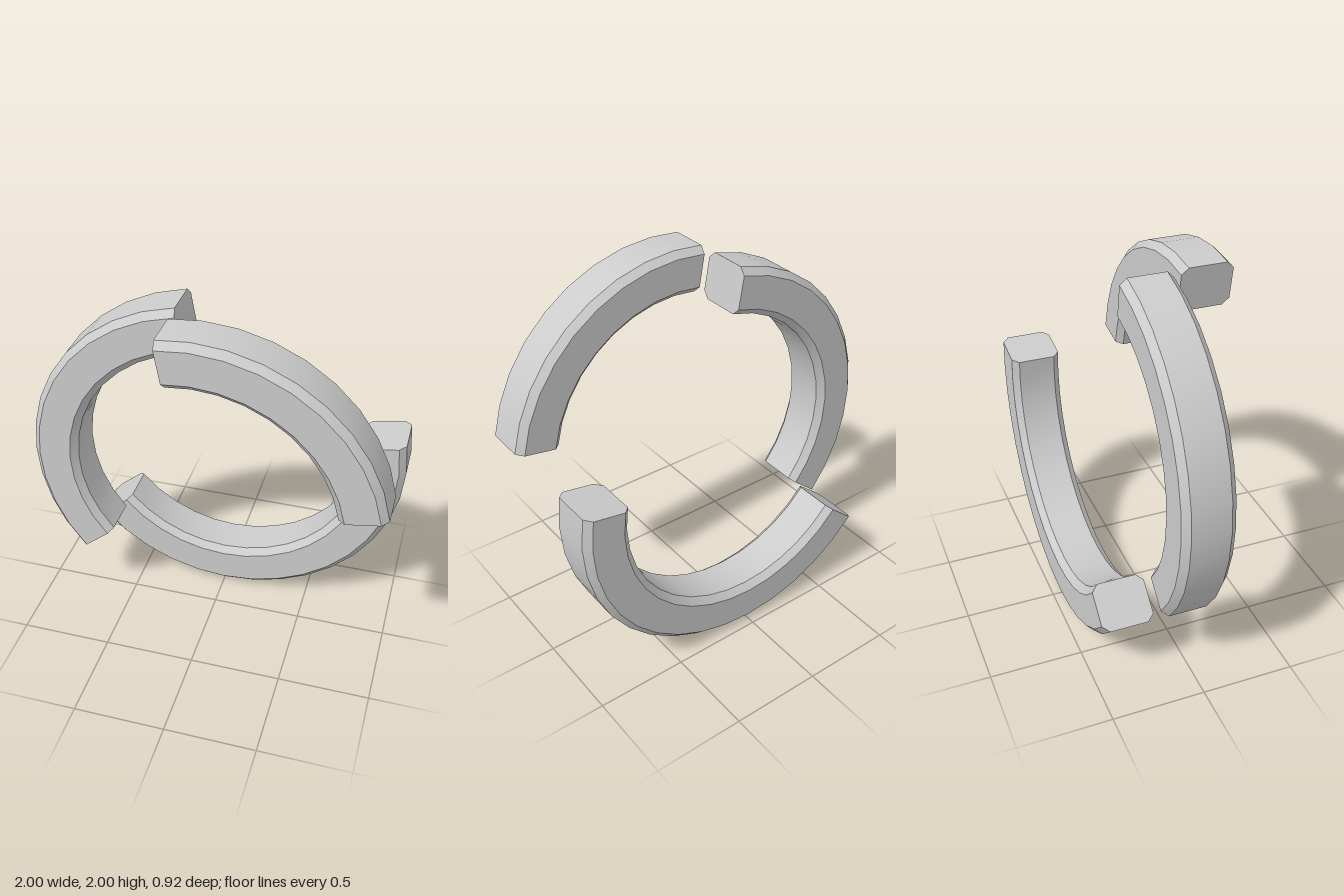
import * as THREE from 'three';
import { mergeGeometries, toCreasedNormals } from 'three/addons/utils/BufferGeometryUtils.js';

const INNER = 0.75, OUTER = 1, HALF = 0.14, CHAMFER = 0.036;
const rad = THREE.MathUtils.degToRad;

// Chamfered rectangular cross-section: x is the radius, y the depth
function sectionPoints() {
  const c = CHAMFER;
  return [
    [INNER + c, -HALF], [OUTER - c, -HALF], [OUTER, -HALF + c], [OUTER, HALF - c],
    [OUTER - c, HALF], [INNER + c, HALF], [INNER, HALF - c], [INNER, -HALF + c],
  ].map(([x, y]) => new THREE.Vector2(x, y));
}

// Arc of the ring from one angle to another, closed by flat end caps
function arcGeometry(startDeg, endDeg) {
  const points = sectionPoints();
  const body = new THREE.LatheGeometry(
    [...points, points[0].clone()], (endDeg - startDeg) / 10,
    rad(startDeg + 90), rad(endDeg - startDeg));
  body.rotateX(Math.PI / 2);

  const shape = new THREE.Shape(points);
  const startCap = new THREE.ShapeGeometry(shape).rotateX(Math.PI / 2).rotateZ(rad(startDeg));
  const endCap = new THREE.ShapeGeometry(shape).rotateX(-Math.PI / 2).rotateZ(rad(endDeg));
  return toCreasedNormals(mergeGeometries([body, startCap, endCap]), 0.5);
}

export function createModel() {
  const group = new THREE.Group();
  group.name = 'splitRing';
  const material = new THREE.MeshStandardMaterial({ color: 0xcccccc });

  // Three arcs of one ring, pulled apart along its axis
  const arcs = [
    ['frontArc', 10, 100, 0.32],
    ['middleArc', 100, 220, 0],
    ['backArc', 220, 370, -0.32],
  ];
  for (const [name, start, end, z] of arcs) {
    const mesh = new THREE.Mesh(arcGeometry(start, end), material);
    mesh.name = name;
    mesh.position.set(0, 1, z);
    group.add(mesh);
  }
  return group;
}
